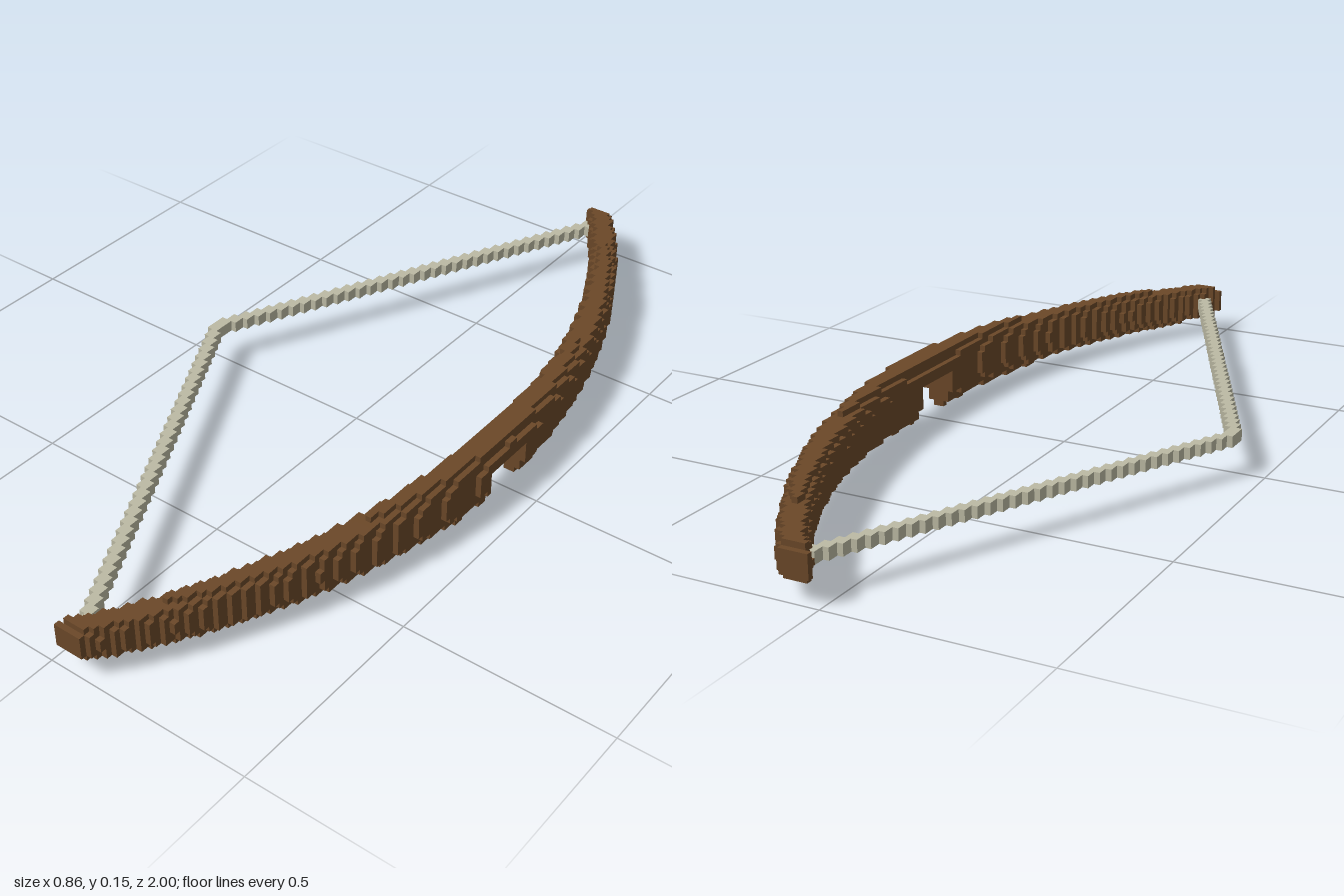
import * as THREE from 'three';

const V = 2 / 146;                 // voxel edge
const NX = 63, NY = 11, NZ = 146;  // voxel grid
const MID = 6 * V;                 // height of the bow's centre line

const wood = new THREE.MeshStandardMaterial({ color: 0x6b4828 });
wood.name = 'brown wood';
const cord = new THREE.MeshStandardMaterial({ color: 0xbcbaa4 });
cord.name = 'pale cord';

// Each face: outward direction and its two in-plane axes (u x v = direction)
const FACES = [
  [[1, 0, 0], [0, 1, 0], [0, 0, 1]], [[-1, 0, 0], [0, 0, 1], [0, 1, 0]],
  [[0, 1, 0], [0, 0, 1], [1, 0, 0]], [[0, -1, 0], [1, 0, 0], [0, 0, 1]],
  [[0, 0, 1], [1, 0, 0], [0, 1, 0]], [[0, 0, -1], [0, 1, 0], [1, 0, 0]],
];

// Fill the grid by a rule and keep only the exposed voxel faces
function voxelMesh(name, material, isFilled) {
  const filled = new Set();
  const key = (i, j, k) => (i + 1) + (j + 1) * 100 + (k + 1) * 10000;
  const cells = [];
  for (let i = 0; i < NX; i++) for (let j = 0; j < NY; j++) for (let k = 0; k < NZ; k++) {
    const x = (i - (NX - 1) / 2) * V, y = (j + 0.5) * V, z = (k - (NZ - 1) / 2) * V;
    if (isFilled(x, y, z, j)) {
      filled.add(key(i, j, k));
      cells.push([i, j, k, new THREE.Vector3(x, y, z)]);
    }
  }
  const pos = [], nor = [], index = [];
  for (const [i, j, k, c] of cells) for (const [d, u, v] of FACES) {
    if (filled.has(key(i + d[0], j + d[1], k + d[2]))) continue;
    const base = pos.length / 3;
    for (const [a, b] of [[-1, -1], [1, -1], [1, 1], [-1, 1]]) {
      const p = [0, 1, 2].map(n => c.getComponent(n) + (d[n] + a * u[n] + b * v[n]) * V / 2);
      pos.push(...p);
      nor.push(...d);
    }
    index.push(base, base + 1, base + 2, base, base + 2, base + 3);
  }
  const geo = new THREE.BufferGeometry();
  geo.setAttribute('position', new THREE.Float32BufferAttribute(pos, 3));
  geo.setAttribute('normal', new THREE.Float32BufferAttribute(nor, 3));
  geo.setIndex(index);
  const mesh = new THREE.Mesh(geo, material);
  mesh.name = name;
  return mesh;
}

// Curved stave: tapering rounded section swept along an arc, with an arrow window
const ARC_R = 1.635, ARC_X = 0.392 - ARC_R;
function inStave(x, y, z, layer) {
  const az = Math.abs(z);
  if (z > -0.06 && z < 0.082 && layer < 7) return false;
  // small feet under the grip
  if (layer === 0) {
    const foot = Math.abs(z - 0.01);
    return x > 0.375 && x < 0.405 && ((foot > 0.065 && foot < 0.082) || (foot > 0.14 && foot < 0.165));
  }
  // string nocks at the tips
  if (az > 0.965 && az < 0.985 && layer === 5 && x > 0.034 && x < 0.1) return true;
  const radial = Math.hypot(x - ARC_X, z) - ARC_R;
  const upper = y > MID;
  const halfHeight = V * (5.15 - (upper ? 2.05 : 1.85) * Math.pow(az, 1.3));
  const halfWidth = V * (2.85 - 0.85 * az);
  if (az > 0.99 && Math.abs(y - MID) > 2 * V) return false;
  return Math.pow(Math.abs(radial) / halfWidth, 2.6)
    + Math.pow(Math.abs(y - MID) / halfHeight, 2.6) <= 1;
}

// Drawn string: two straight runs meeting at a point, two voxels tall
const TIP = new THREE.Vector2(0.055, 0.965), NOCK = new THREE.Vector2(-0.425, 0);
function inString(x, y, z, layer) {
  if (layer !== 5 && layer !== 6) return false;
  if (Math.abs(z) > TIP.y) return false;
  const lineX = NOCK.x + (TIP.x - NOCK.x) * Math.abs(z) / TIP.y;
  return Math.abs(x - lineX) <= V * 1.0 && !inStave(x, y, z, layer);
}

export function createModel() {
  const bow = new THREE.Group();
  bow.name = 'bow';
  bow.add(voxelMesh('stave', wood, inStave));
  bow.add(voxelMesh('bowString', cord, inString));
  return bow;
}
